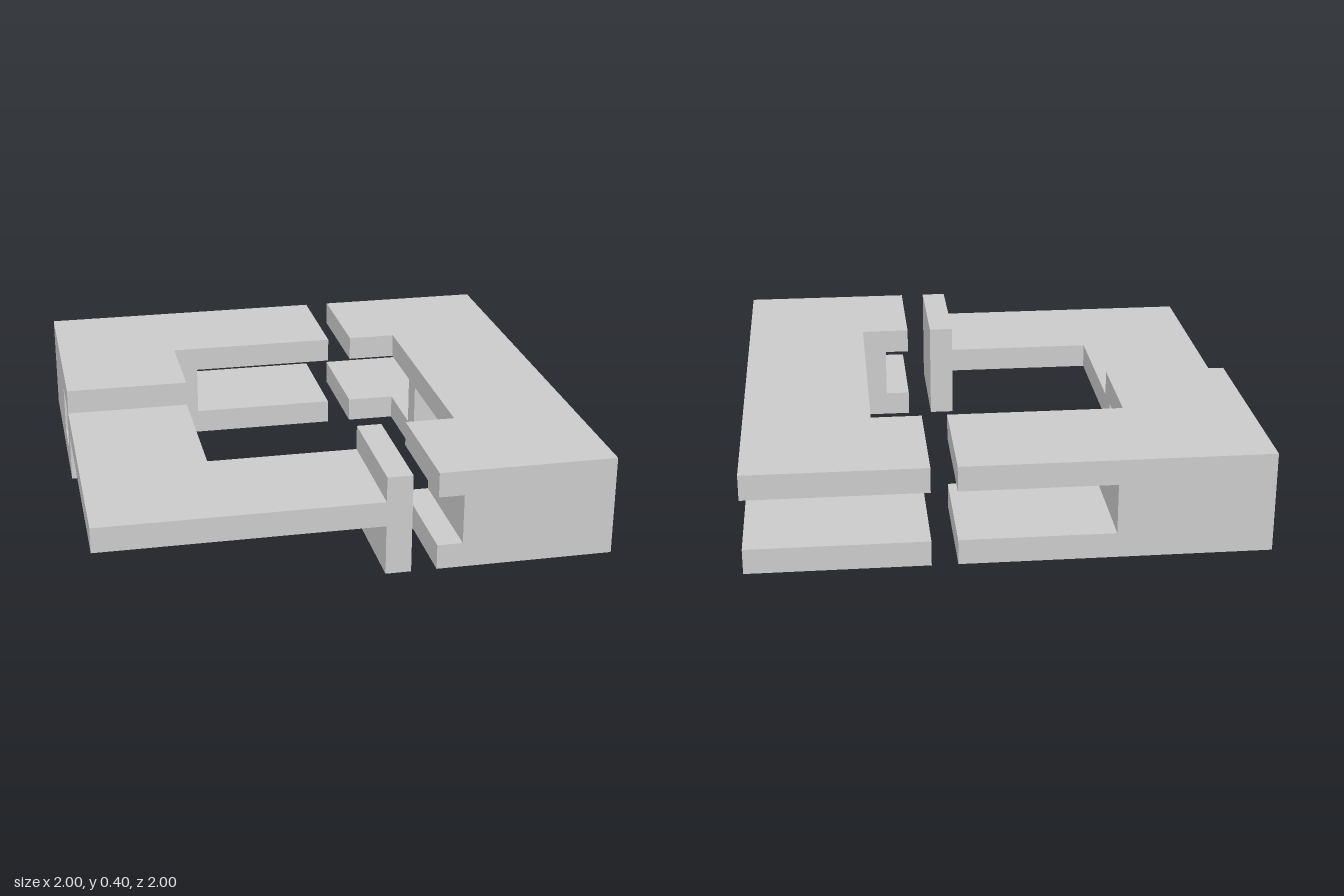
import * as THREE from 'three';

const material = new THREE.MeshStandardMaterial({ color: 0xcccccc, flatShading: true, side: THREE.DoubleSide });

function outline(points, holes = []) {
  const toVectors = (list) => list.map(([a, b]) => new THREE.Vector2(a, b));
  const shape = new THREE.Shape(toVectors(points));
  for (const hole of holes) shape.holes.push(new THREE.Path(toVectors(hole)));
  return shape;
}

const rect = (a0, b0, a1, b1) => [[a0, b0], [a1, b0], [a1, b1], [a0, b1]];
const extrude = (shape, depth) => new THREE.ExtrudeGeometry(shape, { depth, bevelEnabled: false });

// (x, y) profile running from z0 to z1
const alongZ = (shape, z0, z1) => extrude(shape, z1 - z0).translate(0, 0, z0);

// (-z, y) profile running from x0 to x1
const alongX = (shape, x0, x1) => extrude(shape, x1 - x0).rotateY(Math.PI / 2).translate(x0, 0, 0);

// (x, z) plan running from y0 to y1
const alongY = (shape, y0, y1) => extrude(shape, y1 - y0).rotateX(Math.PI / 2).translate(0, y1, 0);

function box(x0, y0, z0, x1, y1, z1) {
  return new THREE.BoxGeometry(x1 - x0, y1 - y0, z1 - z0)
    .translate((x0 + x1) / 2, (y0 + y1) / 2, (z0 + z1) / 2);
}

function add(group, name, geometry) {
  const mesh = new THREE.Mesh(geometry, material);
  mesh.name = name;
  group.add(mesh);
}

export function createModel() {
  const model = new THREE.Group();
  model.name = 'interlockingFrame';

  // Bracket on the +x side: solid front corner, window, then a forked back end
  const bracket = new THREE.Group();
  bracket.name = 'forkedBracket';
  const sideArm = outline(
    [[-1, 0], [1, 0], [1, 0.1], [0.2, 0.1], [0.2, 0.3], [1, 0.3], [1, 0.4], [-1, 0.4]],
    [rect(-0.4, 0.1, 0.1, 0.3)]
  );
  add(bracket, 'sideArm', alongX(sideArm, 0.5, 1));
  const notchedEnd = outline(
    [[0.5, 0], [0.5, 0.4], [0.3, 0.4], [0.3, 0.3], [0.4, 0.3], [0.4, 0.1], [0.3, 0.1], [0.3, 0]]
  );
  add(bracket, 'notchedFrontEnd', alongZ(notchedEnd, 0.5, 1));
  for (const [name, y] of [['lowerForkEnd', 0], ['upperForkEnd', 0.3]]) {
    add(bracket, name, box(0.3, y, -1, 0.5, y + 0.1, -0.5));
  }
  model.add(bracket);

  // Bracket on the -x side: windowed block, forked back arm, thin plate with an end post
  const plateBracket = new THREE.Group();
  plateBracket.name = 'plateBracket';
  const block = outline(rect(0.1, 0, 1, 0.4), [rect(0.2, 0.1, 0.4, 0.3)]);
  add(plateBracket, 'windowedBlock', alongX(block, -1, -0.5));
  const backArm = outline(
    [[-0.5, 0], [0.2, 0], [0.2, 0.1], [-0.4, 0.1], [-0.4, 0.3], [0.2, 0.3], [0.2, 0.4], [-0.5, 0.4]]
  );
  add(plateBracket, 'forkedBackArm', alongZ(backArm, -1, -0.5));
  const plate = outline([[-1, -0.1], [-0.5, -0.1], [-0.5, 0.5], [0.1, 0.5], [0.1, 1], [-1, 1]]);
  add(plateBracket, 'cornerPlate', alongY(plate, 0.2, 0.3));
  add(plateBracket, 'endPost', box(0.1, 0, 0.5, 0.2, 0.4, 1));
  model.add(plateBracket);

  return model;
}
